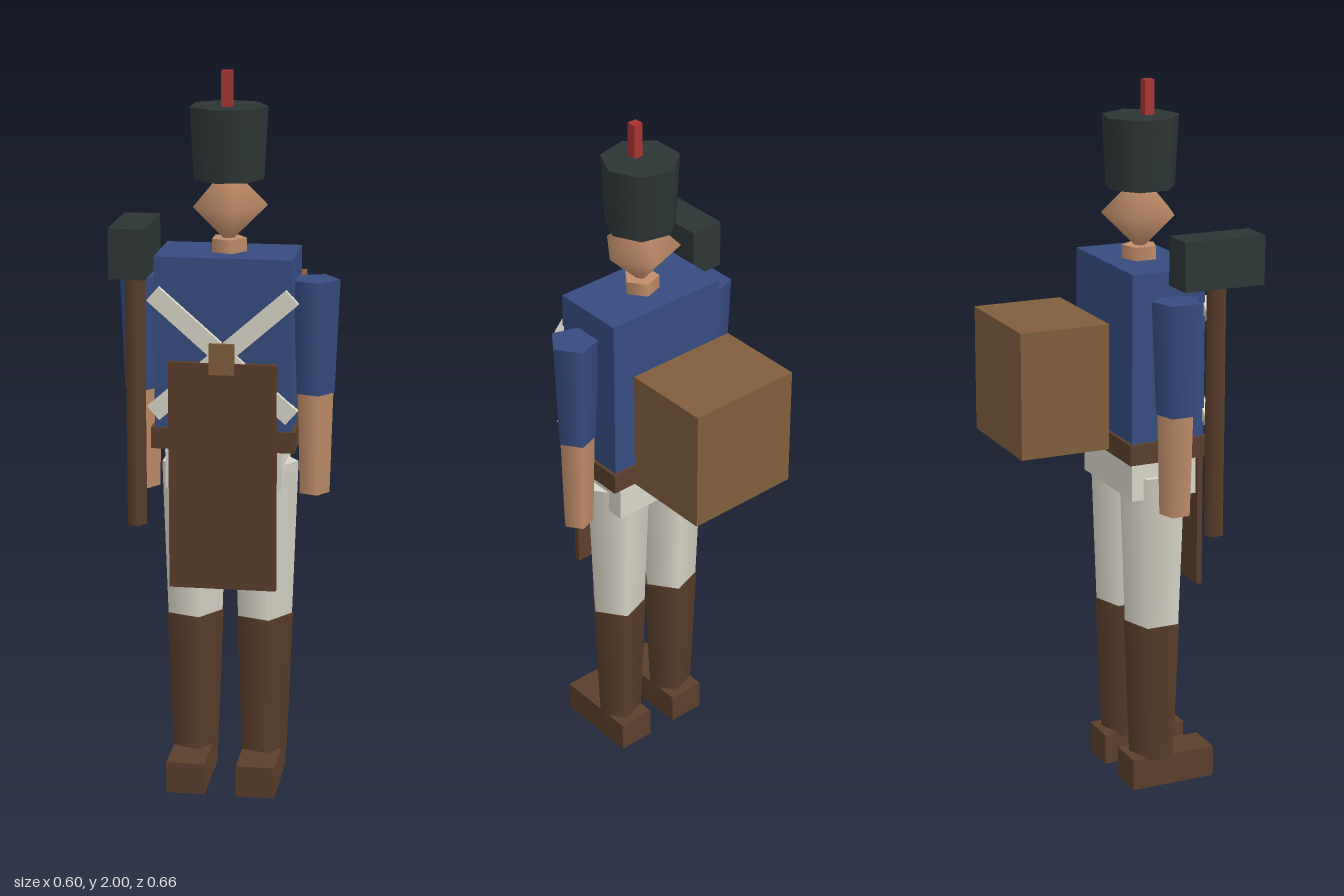
import * as THREE from 'three';

const paint = (name, color) => {
  const m = new THREE.MeshStandardMaterial({ color });
  m.name = name;
  return m;
};

export function createModel() {
  const blue = paint('coat blue', 0x364b80);
  const brown = paint('dark leather', 0x5b3e2b);
  const tan = paint('pack leather', 0x815d3b);
  const white = paint('off white', 0xd9d5c8);
  const skin = paint('skin', 0xc18d69);
  const black = paint('hat black', 0x2d3635);
  const red = paint('plume red', 0xa63430);

  const soldier = new THREE.Group();
  soldier.name = 'soldier';
  const CX = -0.007, CZ = 0.092; // body axis

  const add = (name, geometry, material, x, y, z) => {
    const mesh = new THREE.Mesh(geometry, material);
    mesh.name = name;
    mesh.position.set(x, y, z);
    soldier.add(mesh);
    return mesh;
  };
  // box given by its lower and upper limits on each axis
  const box = (name, mat, [x0, x1], [y0, y1], [z0, z1]) =>
    add(name, new THREE.BoxGeometry(x1 - x0, y1 - y0, z1 - z0), mat,
      (x0 + x1) / 2, (y0 + y1) / 2, (z0 + z1) / 2);
  // tapered prism with one corner pointing to +x
  const limb = (name, mat, x, z, [y0, y1], rBottom, rTop, sides = 5) =>
    add(name, new THREE.CylinderGeometry(rTop, rBottom, y1 - y0, sides).rotateY(Math.PI / 2),
      mat, x, (y0 + y1) / 2, z);

  // torso
  box('torso', blue, [-0.193, 0.179], [1.0, 1.513], [-0.016, 0.2]);
  box('belt', brown, [-0.203, 0.189], [0.985, 1.043], [-0.025, 0.208]);
  box('hips', white, [-0.167, 0.153], [0.87, 1.0], [-0.004, 0.19]);

  // legs and arms, both sides
  for (const [side, s] of [['left', 1], ['right', -1]]) {
    const legX = CX + s * 0.098, armX = CX + s * 0.236;
    limb(side + 'Leg', white, legX, CZ, [0.45, 0.932], 0.079, 0.096);
    limb(side + 'Boot', brown, legX, CZ, [0.08, 0.49], 0.067, 0.083);
    box(side + 'Shoe', brown, [legX - 0.054, legX + 0.054], [0, 0.09], [0.008, 0.26]);
    limb(side + 'Sleeve', blue, armX, CZ, [1.13, 1.443], 0.055, 0.068);
    limb(side + 'Forearm', skin, armX, CZ, [0.847, 1.14], 0.044, 0.052);
  }

  // head and hat
  limb('neck', skin, CX, CZ, [1.49, 1.55], 0.05, 0.05);
  add('head', new THREE.SphereGeometry(0.107, 5, 2).rotateY(Math.PI), skin, CX, 1.641, CZ);
  limb('hat', black, CX, CZ, [1.71, 1.905], 0.097, 0.107, 7);
  box('plume', red, [-0.021, 0.007], [1.88, 2.0], [0.099, 0.127]);

  // crossed straps on the chest
  for (const s of [1, -1]) {
    add(s > 0 ? 'strapRising' : 'strapFalling', new THREE.BoxGeometry(0.5, 0.05, 0.02),
      white, CX, 1.25, 0.205).rotation.z = s * 0.72;
  }

  // front panel with its clasp
  box('apron', brown, [-0.153, 0.141], [0.594, 1.23], [0.203, 0.219]);
  box('clasp', tan, [-0.041, 0.027], [1.2, 1.285], [0.198, 0.226]);

  // hammer carried at the right side
  limb('hammerHandle', brown, -0.243, 0.21, [0.77, 1.48], 0.028, 0.028);
  box('hammerHead', black, [-0.291, -0.193], [1.475, 1.61], [0.092, 0.328]);

  // backpack
  box('backpack', tan, [-0.173, 0.159], [1.032, 1.381], [-0.33, -0.075]);

  return soldier;
}
